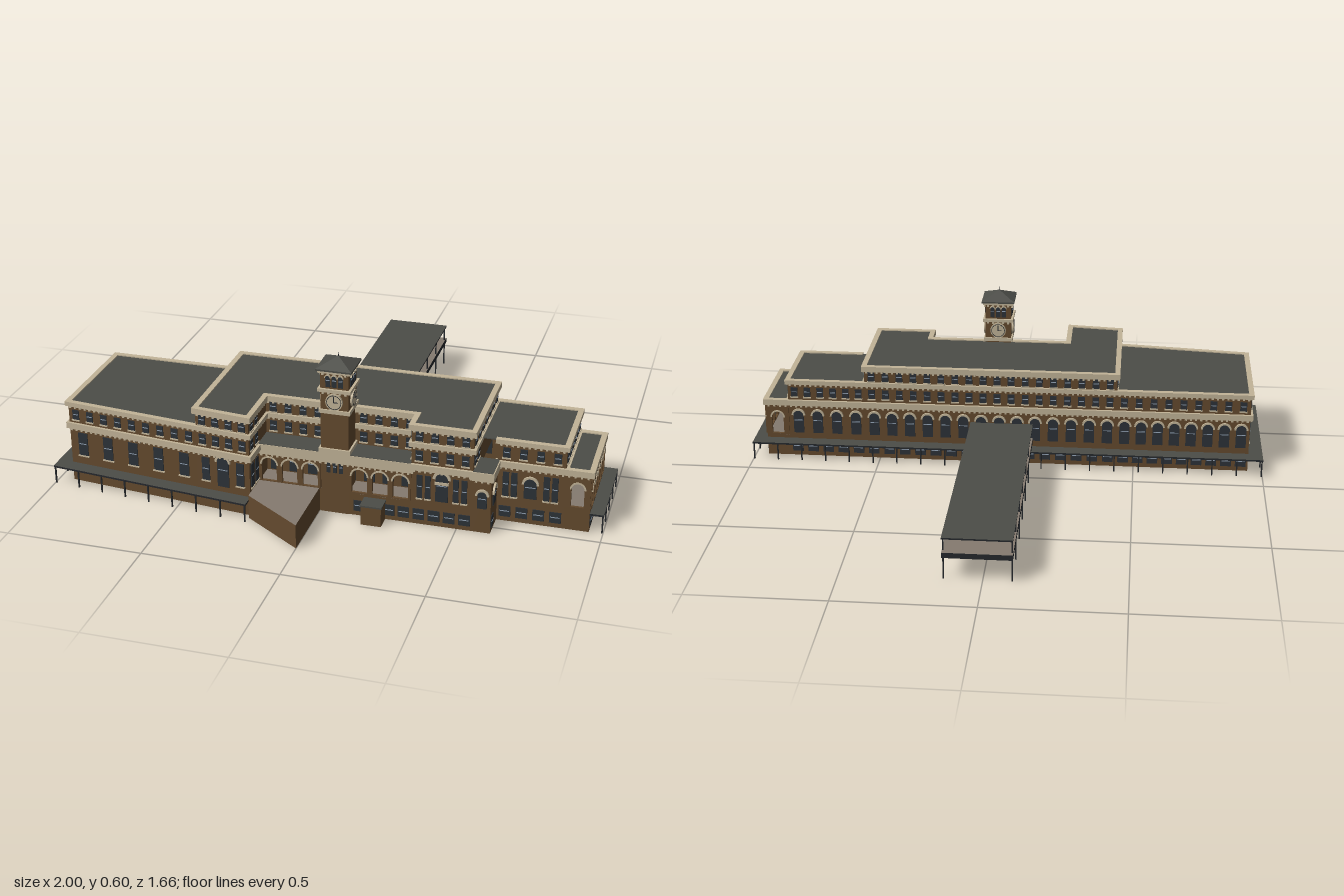
import * as THREE from 'three';
import { mergeGeometries } from 'three/addons/utils/BufferGeometryUtils.js';

const mat = (name, color, side = THREE.FrontSide) => {
  const m = new THREE.MeshStandardMaterial({ color, side });
  m.name = name;
  return m;
};

export function createModel() {
  const M = {
    brick: mat('brick', 0x644a2e, THREE.DoubleSide),
    cream: mat('cream stone', 0xc2b498),
    glass: mat('dark glass', 0x2c3238),
    pane: mat('pale glazing bar', 0x8b9aab),
    roof: mat('grey roof', 0x4c4d48, THREE.DoubleSide),
    metal: mat('dark metal', 0x26292d),
    floor: mat('taupe paving', 0x857b70),
  };
  const model = new THREE.Group();
  const add = (name, geo, material, parent = model) => {
    const m = new THREE.Mesh(geo, material);
    m.name = name;
    parent.add(m);
    return m;
  };
  const block = (name, x0, x1, y0, y1, z0, z1, material) =>
    add(name, new THREE.BoxGeometry(x1 - x0, y1 - y0, z1 - z0), material)
      .position.set((x0 + x1) / 2, (y0 + y1) / 2, (z0 + z1) / 2);
  // horizontal slab from a plan outline of [x, z] points
  const slab = (name, pts, y, h, cap, side = cap) => {
    const s = new THREE.Shape(pts.map(([x, z]) => new THREE.Vector2(x, -z)));
    const g = new THREE.ExtrudeGeometry(s, { depth: h, bevelEnabled: false }).rotateX(-Math.PI / 2);
    add(name, g, [cap, side]).position.y = y;
  };
  // outline of a round-headed opening; h includes the head
  const archPath = (T, x, y, w, h) => {
    const p = new T();
    p.moveTo(x - w / 2, y);
    p.lineTo(x + w / 2, y);
    p.lineTo(x + w / 2, y + h - w / 2);
    p.absarc(x, y + h - w / 2, w / 2, 0, Math.PI, false);
    p.lineTo(x - w / 2, y);
    return p;
  };
  const extrude = (s, d, z = -d / 2) =>
    new THREE.ExtrudeGeometry(s, { depth: d, bevelEnabled: false, curveSegments: 8 }).translate(0, 0, z);

  // One wall from plan point a to b, outward on the local +z side; build() adds its details
  function facade(name, a, b, y0, y1, build) {
    const len = Math.hypot(b[0] - a[0], b[1] - a[1]);
    const bag = {};
    const put = (m, g) => (bag[m] ??= []).push(g.index ? g.toNonIndexed() : g);
    const f = {
      len, put,
      box: (m, x, y, w, h, d, z = 0) => put(m, new THREE.BoxGeometry(w, h, d).translate(x, y + h / 2, z)),
      // projecting stone course with dentils below
      band(lo, hi, d = 0.02, dentils = true) {
        f.box('cream', len / 2, lo, len + d * 0.9, hi - lo, d);
        if (!dentils) return;
        const n = Math.max(2, Math.round(len / 0.02));
        for (let i = 0; i < n; i++) f.box('cream', (i + 0.5) * len / n, lo - 0.008, 0.008, 0.008, 0.012);
      },
      window(x, y, w, h, sill = true) {
        f.box('glass', x, y, w, h, 0.006);
        f.box('pane', x, y + h * 0.5, w * 0.8, 0.003, 0.009);
        if (sill) f.box('cream', x, y - 0.005, w * 1.2, 0.005, 0.012);
      },
      ring(x, y, w, t = 0.008) {
        const s = new THREE.Shape();
        s.absarc(x, y, w / 2 + t, 0, Math.PI, false);
        s.absarc(x, y, w / 2, Math.PI, 0, true);
        put('cream', extrude(s, 0.014));
      },
      archWindow(x, y, w, h, t) {
        put('glass', extrude(archPath(THREE.Shape, x, y, w, h), 0.006));
        f.box('pane', x, y + h * 0.55, w * 0.8, 0.003, 0.009);
        f.ring(x, y + h - w / 2, w, t);
      },
      row(bay, fn, x0 = 0, x1 = len) {
        const n = Math.max(1, Math.round((x1 - x0) / bay));
        for (let i = 0; i < n; i++) fn(x0 + (i + 0.5) * (x1 - x0) / n);
      },
      upper: (y, x0, x1) => f.row(0.055, x => f.window(x, y, 0.026, 0.038), x0, x1),
      basement: (x0, x1) => f.row(0.06, x => f.window(x, 0.018, 0.042, 0.042, false), x0, x1),
      // wall pierced by round arches
      arcade(n, lo, hi, w, h, x0 = 0, x1 = len) {
        const s = new THREE.Shape([[x0, lo], [x1, lo], [x1, hi], [x0, hi]].map(p => new THREE.Vector2(...p)));
        for (let i = 0; i < n; i++) {
          const x = x0 + (i + 0.5) * (x1 - x0) / n;
          s.holes.push(archPath(THREE.Path, x, lo + 0.004, w, h));
          f.ring(x, lo + 0.004 + h - w / 2, w, 0.006);
        }
        put('brick', extrude(s, 0.01));
      },
    };
    if (y1 > y0) put('brick', new THREE.PlaneGeometry(len, y1 - y0).translate(len / 2, (y0 + y1) / 2, 0));
    build(f);
    const g = new THREE.Group();
    g.name = name;
    g.position.set(a[0], 0, a[1]);
    g.rotation.y = Math.atan2(a[1] - b[1], b[0] - a[0]);
    for (const m in bag) add(`${name} ${M[m].name}`, mergeGeometries(bag[m]), M[m], g);
    model.add(g);
  }
  // shared stone courses and upper window rows
  const courses = (f, top, low = true) => {
    if (low) f.band(0.215, 0.238);
    f.band(0.305, 0.322);
    if (top > 0.35) f.band(0.368, 0.39);
  };
  const floors = (f, top, x0, x1) => {
    f.upper(0.252, x0, x1);
    if (top > 0.35) f.upper(0.327, x0, x1);
  };

  // Street front, west to east
  facade('west front', [-0.945, 0.572], [-0.43, 0.628], 0, 0.322, f => {
    courses(f, 0.32); floors(f, 0.32);
    f.row(0.102, x => f.window(x, 0.11, 0.038, 0.09));
  });
  facade('west wing front', [-0.43, 0.628], [-0.225, 0.65], 0, 0.39, f => {
    courses(f, 0.39); floors(f, 0.39);
    f.archWindow(0.103, 0.095, 0.045, 0.12, 0.008);
    for (const x of [0.035, 0.17]) f.window(x, 0.11, 0.03, 0.09);
  });
  facade('west wing return', [-0.225, 0.65], [-0.225, 0.46], 0, 0.39, f => {
    courses(f, 0.39); floors(f, 0.39, 0, 0.105);
    for (const x of [0.028, 0.075]) f.window(x, 0.105, 0.03, 0.09);
  });
  facade('recessed front', [-0.225, 0.46], [0.335, 0.46], 0.09, 0.39, f => {
    courses(f, 0.39, false); floors(f, 0.39);
    f.row(0.07, x => f.window(x, 0.095, 0.04, 0.075, false));
  });
  facade('east wing return', [0.335, 0.46], [0.335, 0.545], 0.09, 0.39, f => {
    courses(f, 0.39, false); floors(f, 0.39);
  });
  facade('porch', [-0.225, 0.545], [0.335, 0.545], 0, 0.09, f => {
    f.arcade(3, 0.09, 0.2, 0.056, 0.092, 0, 0.23);
    f.arcade(3, 0.09, 0.2, 0.056, 0.092, 0.335, 0.56);
    f.band(0.2, 0.238, 0.018);
    f.basement(0.345, 0.56);
  });
  facade('east wing front', [0.335, 0.545], [0.555, 0.545], 0, 0.39, f => {
    courses(f, 0.39); floors(f, 0.39);
    f.archWindow(0.11, 0.1, 0.045, 0.112, 0.01);
    f.box('cream', 0.11, 0.168, 0.05, 0.01, 0.014);
    for (const x of [0.03, 0.06, 0.16, 0.19]) f.window(x, 0.105, 0.02, 0.09);
    f.basement();
  });
  facade('east wing side', [0.555, 0.545], [0.555, 0.135], 0.2, 0.39, f => {
    courses(f, 0.39, false);
    f.upper(0.252, 0, 0.105);
    f.upper(0.327);
  });
  facade('entrance front', [0.555, 0.545], [0.62, 0.545], 0, 0.238, f => {
    f.band(0.205, 0.238);
    f.archWindow(0.034, 0.095, 0.034, 0.068);
  });
  facade('entrance side', [0.62, 0.545], [0.62, 0.44], 0, 0.238, f => {
    f.band(0.205, 0.238);
    f.archWindow(0.052, 0.095, 0.045, 0.07);
    f.window(0.025, 0.018, 0.034, 0.046, false);
  });
  facade('east front', [0.62, 0.44], [0.86, 0.44], 0, 0.322, f => {
    courses(f, 0.32); floors(f, 0.32);
    for (const x of [0.03, 0.06, 0.175, 0.205]) f.window(x, 0.1, 0.022, 0.095);
    f.archWindow(0.118, 0.1, 0.045, 0.08);
    f.basement();
  });
  facade('east side', [0.86, 0.44], [0.86, 0.135], 0.09, 0.322, f => {
    courses(f, 0.32); floors(f, 0.32);
    f.row(0.06, x => f.window(x, 0.1, 0.034, 0.075, false));
  });

  // Open arched loggia at the east end
  const loggia = [[0.86, 0.44], [0.95, 0.44], [0.95, 0.135], [0.86, 0.135]];
  [1, 5, 1].forEach((n, i) => facade('loggia', loggia[i], loggia[i + 1], 0, 0.09, f => {
    f.arcade(n, 0.09, 0.216, n > 1 ? 0.05 : 0.046, 0.092);
    f.band(0.215, 0.238);
    if (n > 1) f.basement();
  }));
  slab('loggia floor', loggia, 0.086, 0.004, M.floor);
  slab('loggia roof', loggia, 0.23, 0.004, M.roof);

  // Rear and west end
  const rear = top => f => {
    courses(f, top); floors(f, top);
    f.row(0.068, x => f.archWindow(x, 0.098, 0.04, 0.095, 0.007));
    f.basement();
  };
  facade('rear east', [0.86, 0.135], [0.555, 0.135], 0, 0.322, rear(0.32));
  facade('rear centre', [0.555, 0.135], [-0.43, 0.135], 0, 0.39, rear(0.39));
  facade('rear west', [-0.43, 0.135], [-0.945, 0.135], 0, 0.322, rear(0.32));
  facade('west end', [-0.945, 0.135], [-0.945, 0.572], 0, 0.322, f => {
    courses(f, 0.32); floors(f, 0.32);
    f.row(0.09, x => f.window(x, 0.11, 0.038, 0.09));
  });
  facade('roof step', [-0.43, 0.135], [-0.43, 0.628], 0.31, 0.39, f => { f.band(0.368, 0.39); f.upper(0.327); });

  // Flat roofs
  slab('west roof', [[-0.945, 0.572], [-0.43, 0.628], [-0.43, 0.135], [-0.945, 0.135]], 0.314, 0.004, M.roof);
  slab('centre roof', [[-0.43, 0.628], [-0.225, 0.65], [-0.225, 0.46], [0.335, 0.46], [0.335, 0.545],
    [0.555, 0.545], [0.555, 0.135], [-0.43, 0.135]], 0.382, 0.004, M.roof);
  slab('east roof', [[0.555, 0.44], [0.86, 0.44], [0.86, 0.135], [0.555, 0.135]], 0.314, 0.004, M.roof);
  block('porch roof', -0.225, 0.335, 0.234, 0.24, 0.46, 0.552, M.roof);
  block('porch floor', -0.225, 0.335, 0.085, 0.09, 0.46, 0.545, M.floor);
  block('entrance roof', 0.555, 0.626, 0.234, 0.24, 0.44, 0.551, M.roof);
  block('doorway bay', 0.168, 0.242, 0, 0.072, 0.545, 0.606, M.brick);
  block('doorway roof', 0.165, 0.245, 0.072, 0.078, 0.545, 0.61, M.roof);

  // Clock tower: four matching sides
  const cx = 0.058, cz = 0.497, r = 0.051;
  const corners = [[-r, r], [r, r], [r, -r], [-r, -r]].map(([x, z]) => [cx + x, cz + z]);
  corners.forEach((c, i) => facade('tower side', c, corners[(i + 1) % 4], 0, 0.555, f => {
    f.band(0.235, 0.255, 0.014, false);
    f.band(0.392, 0.406, 0.012, false);
    f.band(0.474, 0.486, 0.018);
    f.band(0.546, 0.556, 0.018);
    for (const x of [0.028, 0.051, 0.074]) {
      f.window(x, 0.16, 0.014, 0.045, false);
      f.archWindow(x, 0.493, 0.017, 0.044, 0.003);
    }
    f.put('cream', new THREE.CylinderGeometry(0.031, 0.031, 0.012, 24).rotateX(Math.PI / 2).translate(r, 0.438, 0.002));
    f.put('metal', new THREE.TorusGeometry(0.026, 0.0012, 4, 24).translate(r, 0.438, 0.008));
    f.box('metal', r, 0.438, 0.003, 0.022, 0.004, 0.008);
    f.box('metal', r + 0.007, 0.437, 0.014, 0.003, 0.004, 0.008);
  }));
  block('tower eaves', cx - 0.065, cx + 0.065, 0.555, 0.561, cz - 0.065, cz + 0.065, M.roof);
  const cap = new THREE.ConeGeometry(0.065 * Math.SQRT2, 0.031, 4, 1).rotateY(Math.PI / 4).toNonIndexed();
  cap.computeVertexNormals();
  add('tower roof', cap, M.roof).position.set(cx, 0.5765, cz);
  add('finial', new THREE.CylinderGeometry(0.001, 0.002, 0.014, 6), M.metal).position.set(cx, 0.597, cz);

  // Wedge-shaped raised forecourt
  const court = [[-0.225, 0.67], [0, 0.825], [0, 0.545]];
  for (let i = 0; i < 2; i++) facade('forecourt wall', court[i], court[i + 1], 0, 0.09, () => {});
  slab('forecourt paving', [...court, [-0.225, 0.545]], 0.087, 0.004, M.floor, M.brick);

  // Low canopy around the west, rear and east sides, on thin posts
  slab('canopy', [[-1, 0.62], [-0.225, 0.705], [-0.225, 0.65], [-0.945, 0.572], [-0.945, 0.135], [0.95, 0.135],
    [0.95, 0.44], [1, 0.44], [1, 0.08], [-1, 0.08]], 0.066, 0.007, M.roof, M.metal);
  const posts = [];
  const post = (x, z, h) => posts.push(new THREE.BoxGeometry(0.005, h, 0.005).translate(x, h / 2, z));
  const line = (a, b, n) => {
    for (let i = 0; i <= n; i++) post(a[0] + (b[0] - a[0]) * i / n, a[1] + (b[1] - a[1]) * i / n, 0.068);
  };
  line([-0.996, 0.615], [-0.23, 0.7], 8);
  line([-0.996, 0.085], [-0.996, 0.52], 5);
  line([-0.9, 0.085], [0.996, 0.085], 20);
  line([0.996, 0.18], [0.996, 0.435], 3);

  // Covered footbridge running back from the building
  const deck = [[-0.105, 0.135], [0.14, 0.135], [0.14, -0.835], [-0.105, -0.835]];
  slab('footbridge deck', deck, 0.09, 0.02, M.floor, M.metal);
  slab('footbridge roof', deck, 0.161, 0.006, M.roof, M.metal);
  for (let i = 0; i < 6; i++) for (const x of [-0.101, 0.136]) post(x, -0.045 - i * 0.1535, 0.163);
  add('posts', mergeGeometries(posts), M.metal);
  return model;
}
